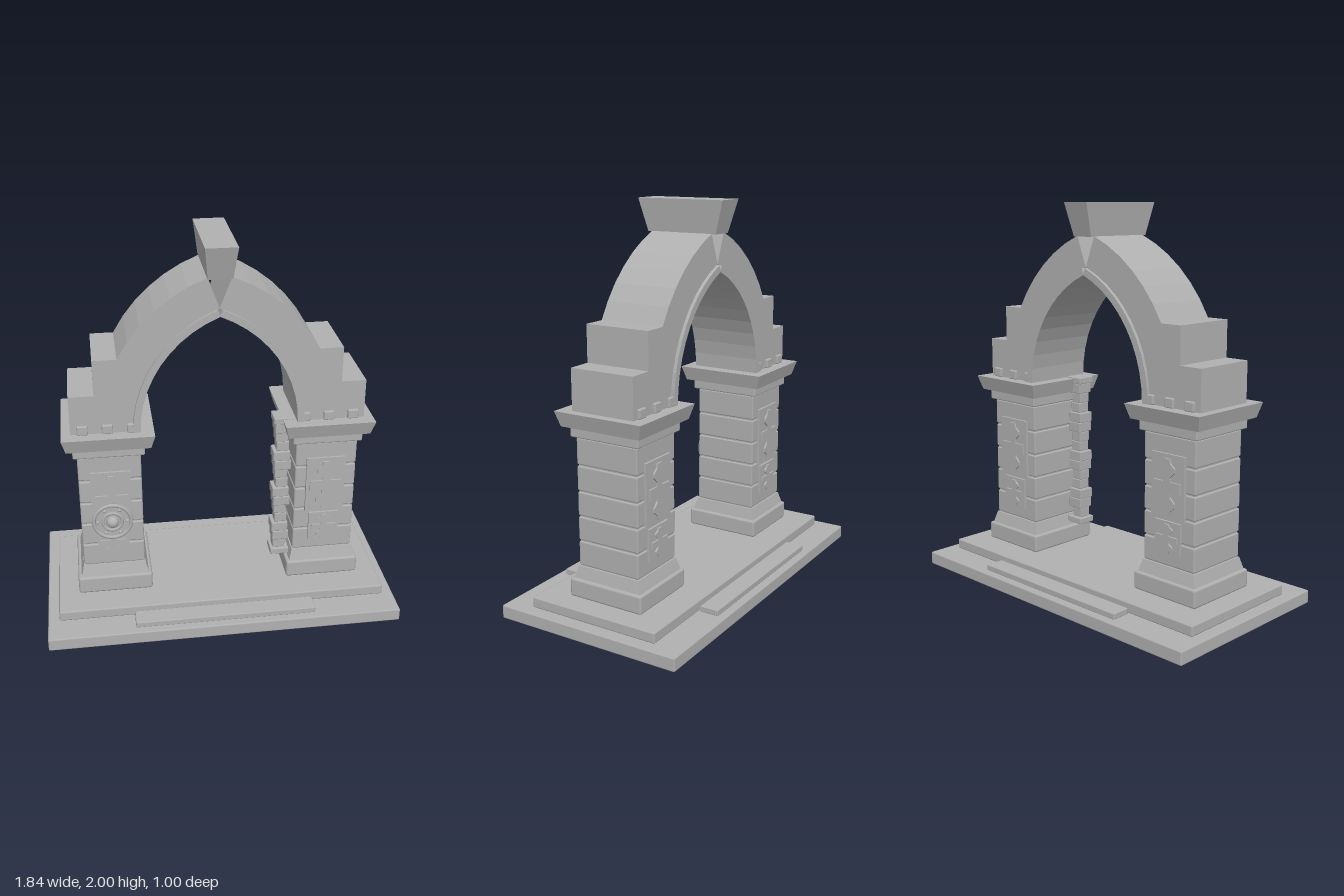
import * as THREE from 'three';
import { RoundedBoxGeometry } from 'three/addons/geometries/RoundedBoxGeometry.js';

const stone = new THREE.MeshStandardMaterial({ color: 0xb0b0b0 });
stone.name = 'grey stone';

function add(parent, name, geometry, x = 0, y = 0, z = 0) {
  const mesh = new THREE.Mesh(geometry, stone);
  mesh.name = name;
  mesh.position.set(x, y, z);
  parent.add(mesh);
  return mesh;
}

// Block with softened edges, placed by its centre x, z and its bottom and top
function block(parent, name, w, d, y0, y1, x = 0, z = 0, r = 0.008) {
  return add(parent, name, new RoundedBoxGeometry(w, y1 - y0, d, 1, r), x, (y0 + y1) / 2, z);
}

// Box whose top has a different size from its bottom
function taper(parent, name, w0, d0, w1, d1, y0, y1, x = 0) {
  const g = new THREE.BoxGeometry(1, y1 - y0, 1);
  const p = g.attributes.position;
  for (let i = 0; i < p.count; i++) {
    const top = p.getY(i) > 0;
    p.setX(i, p.getX(i) * (top ? w1 : w0));
    p.setZ(i, p.getZ(i) * (top ? d1 : d0));
  }
  g.computeVertexNormals();
  return add(parent, name, g, x, (y0 + y1) / 2, 0);
}

// Outline extruded evenly to both sides of z = 0
function slab(parent, name, points, depth, x = 0, y = 0, z = 0) {
  const g = new THREE.ExtrudeGeometry(new THREE.Shape(points), { depth, bevelEnabled: false });
  g.translate(0, 0, -depth / 2);
  return add(parent, name, g, x, y, z);
}

// Points on the arch circle, angles in degrees, on the given side
const ARCH_X = -0.24, ARCH_Y = 1.06;
function arc(side, r, a0, a1, n) {
  return Array.from({ length: n + 1 }, (_, i) => {
    const a = THREE.MathUtils.degToRad(a0 + (a1 - a0) * i / n);
    return new THREE.Vector2(side * (ARCH_X + r * Math.cos(a)), ARCH_Y + r * Math.sin(a));
  });
}

// Carved ornament: a knob above and below a crossbar
function ornament(parent, height, width, x, y, z) {
  const q = [[0.1, 0.5], [0.13, 0.42], [0.29, 0.34], [0.29, 0.27], [0.12, 0.17],
    [0.12, 0.1], [0.5, 0.1], [0.5, 0]];
  const right = [...q, ...q.slice(0, -1).reverse().map(([a, b]) => [a, -b])];
  const all = [...right, ...right.slice().reverse().map(([a, b]) => [-a, b])];
  slab(parent, 'carvedOrnament', all.map(([a, b]) => new THREE.Vector2(a * width, b * height)), 0.016, x, y, z);
}

function buildPillar(side) {
  const pillar = new THREE.Group();
  pillar.name = side > 0 ? 'leftPillar' : 'rightPillar';
  const x = side * 0.557;
  block(pillar, 'plinth', 0.39, 0.415, 0.125, 0.22, x, 0, 0.012);
  taper(pillar, 'plinthSlope', 0.355, 0.385, 0.325, 0.35, 0.22, 0.28, x);
  // Shaft: core and five courses
  add(pillar, 'shaftCore', new THREE.BoxGeometry(0.305, 0.66, 0.33), x, 0.6, 0);
  const courses = [0.28, 0.41, 0.535, 0.66, 0.79, 0.93];
  for (let i = 0; i < 5; i++) {
    block(pillar, 'shaftCourse', 0.32, 0.345, courses[i] + 0.003, courses[i + 1] - 0.003, x);
  }
  block(pillar, 'neckBand', 0.36, 0.385, 0.93, 0.988, x);
  taper(pillar, 'capital', 0.42, 0.44, 0.46, 0.485, 0.985, 1.06, x);
  // Panels, ornaments and dentils on both faces
  for (const f of [1, -1]) {
    add(pillar, 'upperPanel', new THREE.BoxGeometry(0.205, 0.32, 0.016), x, 0.68, f * 0.176);
    add(pillar, 'lowerPanel', new THREE.BoxGeometry(0.16, 0.165, 0.016), x, 0.427, f * 0.176);
    ornament(pillar, 0.28, 0.165, x, 0.68, f * 0.185);
    ornament(pillar, 0.145, 0.13, x, 0.425, f * 0.185);
    for (const dx of [-0.124, 0, 0.124]) {
      block(pillar, 'dentil', 0.055, 0.03, 1.06, 1.108, x + dx, f * 0.173, 0.006);
    }
  }
  return pillar;
}

function buildArchHalf(side) {
  const half = new THREE.Group();
  half.name = side > 0 ? 'leftArchHalf' : 'rightArchHalf';
  const steps = [[0.74, 1.06], [0.74, 1.265], [0.615, 1.265], [0.615, 1.45]]
    .map(([x, y]) => new THREE.Vector2(side * x, y));
  slab(half, 'archBody', [...steps, ...arc(side, 0.833, 27.9, 69, 6), ...arc(side, 0.67, 69, 0, 10)], 0.345);
  slab(half, 'archTrim', [...arc(side, 0.67, 0, 68, 10), ...arc(side, 0.635, 68, 0, 10)], 0.38);
  return half;
}

// Round boss of rings, bolts and a domed hub
function buildMedallion() {
  const m = new THREE.Group();
  m.name = 'medallion';
  const disc = add(m, 'disc', new THREE.CylinderGeometry(0.1, 0.1, 0.016, 32));
  disc.rotation.x = Math.PI / 2;
  add(m, 'outerRing', new THREE.TorusGeometry(0.096, 0.01, 8, 32), 0, 0, 0.008);
  add(m, 'innerRing', new THREE.TorusGeometry(0.05, 0.008, 8, 24), 0, 0, 0.01);
  const hub = add(m, 'hub', new THREE.SphereGeometry(0.032, 20, 12), 0, 0, 0.012);
  hub.scale.z = 0.95;
  for (let i = 0; i < 6; i++) {
    const a = i * Math.PI / 3;
    add(m, 'bolt', new THREE.SphereGeometry(0.009, 10, 8), 0.076 * Math.cos(a), 0.076 * Math.sin(a), 0.01);
  }
  m.position.set(-0.557, 0.56, 0.193);
  return m;
}

// Slim stack of blocks beside the inner face of one pillar
function buildStack() {
  const stack = new THREE.Group();
  stack.name = 'blockStack';
  const x = 0.332, z = 0.105;
  block(stack, 'stackFoot', 0.1, 0.1, 0.243, 0.277, x, z, 0.005);
  block(stack, 'stackTop', 0.1, 0.1, 1.033, 1.068, x, z, 0.005);
  const n = 14, h = (1.033 - 0.277) / n;
  for (let i = 0; i < n; i++) {
    const wide = i % 4 === 1 || i % 4 === 2;
    const w = wide ? 0.088 : 0.066;
    block(stack, 'stackBlock', w, w, 0.277 + i * h, 0.277 + (i + 1) * h, x + (i % 2 ? 0.003 : -0.003), z, 0.005);
  }
  return stack;
}

export function createModel() {
  const model = new THREE.Group();
  model.name = 'stoneArchway';
  // Stepped base
  block(model, 'baseSlab', 1.84, 1, 0, 0.07);
  block(model, 'upperSlab', 1.72, 0.71, 0.07, 0.125);
  for (const s of [1, -1]) {
    block(model, 'stepStrip', 0.94, 0.1, 0.068, 0.1, 0, s * 0.41, 0.005);
    model.add(buildPillar(s), buildArchHalf(s));
  }
  taper(model, 'keystone', 0.12, 0.39, 0.156, 0.485, 1.835, 2);
  model.add(buildMedallion(), buildStack());
  return model;
}
